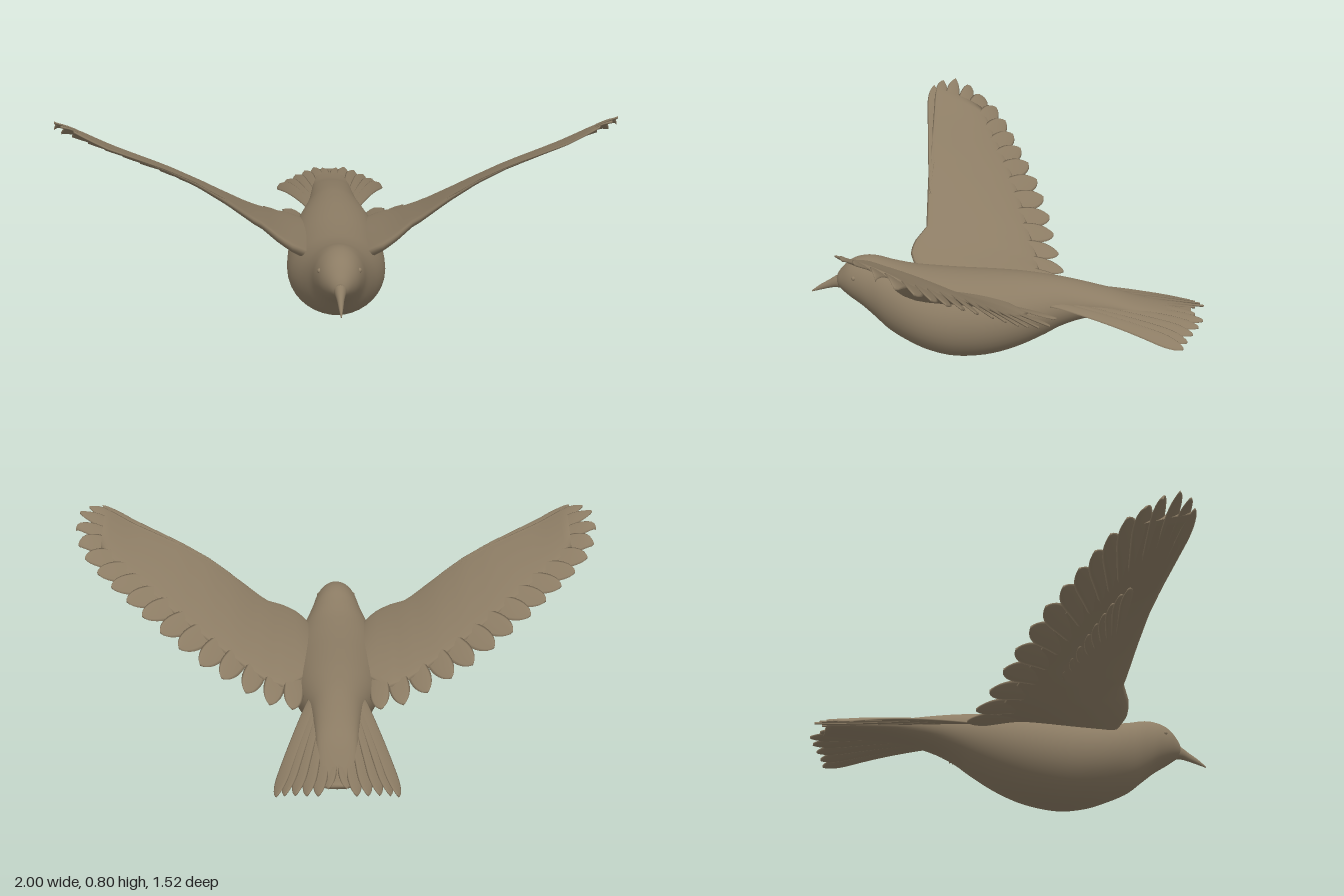
import * as THREE from 'three';

const plumage = new THREE.MeshStandardMaterial({ color: 0x8c7c64 });
plumage.name = 'brownPlumage';

// Closed skin over a list of rings (arrays of [x, y, z]), always facing outward
function loft(name, rings) {
  const n = rings[0].length, pos = rings.flat(2), idx = [];
  for (let i = 0; i < rings.length - 1; i++) {
    for (let j = 0; j < n; j++) {
      const a = i * n + j, b = i * n + (j + 1) % n;
      idx.push(a, b, a + n, b, b + n, a + n);
    }
  }
  const last = (rings.length - 1) * n;
  for (let j = 1; j < n - 1; j++) {
    idx.push(0, j + 1, j, last, last + j, last + j + 1);
  }
  // flip the winding when the enclosed volume is negative
  const p = (i) => new THREE.Vector3().fromArray(pos, i * 3);
  const origin = p(0);
  let volume = 0;
  for (let k = 0; k < idx.length; k += 3) {
    const [a, b, c] = [0, 1, 2].map((d) => p(idx[k + d]).sub(origin));
    volume += a.dot(b.cross(c));
  }
  if (volume < 0) idx.reverse();
  const g = new THREE.BufferGeometry();
  g.setAttribute('position', new THREE.Float32BufferAttribute(pos, 3));
  g.setIndex(idx);
  g.computeVertexNormals();
  const mesh = new THREE.Mesh(g, plumage);
  mesh.name = name;
  return mesh;
}

// Piecewise linear lookup in [x, value] pairs
function look(table, x) {
  if (x <= table[0][0]) return table[0][1];
  for (let i = 1; i < table.length; i++) {
    const [x0, v0] = table[i - 1], [x1, v1] = table[i];
    if (x <= x1) return v0 + (v1 - v0) * (x - x0) / (x1 - x0);
  }
  return table[table.length - 1][1];
}

// Smooth elliptical hull from rows of [z, bottom, top, half width]
function hull(name, rows, steps, sides) {
  const curve = (k) => new THREE.SplineCurve(rows.map((r) => new THREE.Vector2(r[0], r[k])));
  const low = curve(1), high = curve(2), wide = curve(3), rings = [];
  for (let i = 0; i <= steps; i++) {
    const t = i / steps, z = low.getPoint(t).x;
    const b = low.getPoint(t).y, h = high.getPoint(t).y, w = wide.getPoint(t).y;
    const ring = [];
    for (let j = 0; j < sides; j++) {
      const a = j / sides * Math.PI * 2;
      ring.push([w * Math.cos(a), (b + h) / 2 + (h - b) / 2 * Math.sin(a), z]);
    }
    rings.push(ring);
  }
  return loft(name, rings);
}

// Thin feather with a narrowed tip, from root to tip ([x, z]), lying on the surface height(x, z)
function feather(name, root, tip, w0, w1, height, side, tilt) {
  const dx = tip[0] - root[0], dz = tip[1] - root[1], len = Math.hypot(dx, dz);
  const rings = [], steps = 18, round = 0.2;
  for (let i = 0; i <= steps; i++) {
    const t = 1 - Math.pow(1 - i / steps, 1.6);
    const end = Math.max(0, (t - 1 + round) / round);
    const hw = (w0 + (w1 - w0) * t) * Math.pow(Math.max(0.003, 1 - end * end), 0.6);
    const ring = [];
    for (let j = 0; j < 10; j++) {
      const a = j / 10 * Math.PI * 2, c = Math.cos(a) * hw;
      const x = root[0] + dx * t - dz / len * c, z = root[1] + dz * t + dx / len * c;
      const y = height(x, z) + 0.005 * Math.sin(a) + tilt * Math.cos(a) * hw / w1;
      ring.push([x * side, y, z]);
    }
    rings.push(ring);
  }
  return loft(name, rings);
}

// Wing plan and height, all as functions of the distance from the body
const tips = [[0.912, 0.425], [0.96, 0.395], [0.99, 0.345], [1, 0.28], [0.985, 0.22], [0.955, 0.165],
  [0.905, 0.12], [0.85, 0.08], [0.79, 0.04], [0.73, 0], [0.66, -0.045], [0.59, -0.08],
  [0.51, -0.115], [0.43, -0.14], [0.34, -0.17], [0.25, -0.2], [0.165, -0.215]];
const leadZ = [[0.08, 0.34], [0.13, 0.38], [0.17, 0.4], [0.22, 0.385], [0.27, 0.352], [0.5, 0.38], [0.9, 0.43], [1, 0.36]];
const leadY = [[0.08, 0.27], [0.13, 0.31], [0.2, 0.355], [0.3, 0.42], [0.4, 0.5], [0.5, 0.57], [0.6, 0.625],
  [0.8, 0.715], [0.91, 0.78], [1, 0.797]];
const trailY = [[0.08, 0.235], [0.165, 0.24], [0.25, 0.25], [0.34, 0.285], [0.43, 0.33], [0.51, 0.373], [0.59, 0.425],
  [0.66, 0.472], [0.73, 0.518], [0.79, 0.56], [0.85, 0.6], [0.905, 0.64], [0.955, 0.68], [0.985, 0.71], [1, 0.745]];
const trailZ = tips.slice(3).reverse();

function wingY(x, z) {
  const front = look(leadZ, x), back = look(trailZ, x);
  const s = THREE.MathUtils.clamp((front - z) / (front - back), 0, 1);
  return THREE.MathUtils.lerp(look(leadY, x), look(trailY, x), s) + 0.015 * Math.sin(Math.PI * s);
}

function wing(side) {
  const g = new THREE.Group();
  g.name = side > 0 ? 'leftWing' : 'rightWing';
  // flight feathers fan out from the hand, then spread along the forearm
  tips.forEach((tip, i) => {
    const k = i < 7 ? i / 7 : (i - 7) / 9;
    const root = i < 7 ? [0.42 - 0.07 * k, 0.345 - 0.02 * k] : [0.35 - 0.2 * k, 0.325 - 0.07 * k];
    g.add(feather('flightFeather', root, tip, 0.022, i < 4 ? 0.03 : 0.041, wingY, side, 0.007));
  });
  // shorter overlapping feathers under the forearm
  tips.forEach((tip, i) => {
    if (i < 4) return;
    const root = [0.16 + 0.2 * (1 - i / 16), 0.31];
    const end = [root[0] + (tip[0] - root[0]) * 0.5, root[1] + (tip[1] - root[1]) * 0.5];
    g.add(feather('underCovert', root, end, 0.02, 0.03, (x, z) => wingY(x, z) - 0.012, side, 0.006));
  });
  // smooth arm and upper coverts, thick at the leading edge
  const rings = [];
  for (let i = 0; i <= 30; i++) {
    const x = 0.08 + 0.82 * i / 30, front = look(leadZ, x);
    const reach = Math.min(0.6 + 0.06 * i, 0.86 - 0.006 * i);
    const chord = (front - look(trailZ, x)) * reach;
    const thick = 0.008 + 0.047 * Math.pow(1 - i / 30, 2.2);
    const ring = [];
    for (let j = 0; j < 24; j++) {
      const a = j / 24 * Math.PI * 2, z = front - chord * (1 - Math.cos(a)) / 2;
      const up = Math.sin(a);
      const offset = up > 0 ? Math.sqrt(up) * 0.009 + up * thick * 0.12 : up * (1.1 + Math.cos(a)) * 0.7 * thick;
      ring.push([x * side, wingY(x, z) + offset, z]);
    }
    rings.push(ring);
  }
  g.add(loft('wingArm', rings));
  return g;
}

// Tail slopes down to the rear and arches down at its sides
function tailY(x, z) {
  const t = THREE.MathUtils.clamp((-0.2 - z) / 0.55, 0, 1);
  return 0.275 - 0.048 * t - 0.062 * t * (x / 0.22) ** 2;
}

export function createModel() {
  const bird = new THREE.Group();
  bird.name = 'flyingBird';

  bird.add(hull('body', [
    [0.655, 0.258, 0.296, 0.016], [0.64, 0.242, 0.322, 0.036], [0.6, 0.212, 0.362, 0.066], [0.55, 0.178, 0.38, 0.086],
    [0.5, 0.135, 0.38, 0.1], [0.44, 0.085, 0.364, 0.125], [0.36, 0.045, 0.348, 0.157], [0.28, 0.016, 0.342, 0.177],
    [0.18, 0, 0.34, 0.183], [0.06, 0.013, 0.342, 0.175], [-0.05, 0.05, 0.342, 0.155], [-0.15, 0.102, 0.337, 0.125],
    [-0.22, 0.145, 0.33, 0.103], [-0.3, 0.18, 0.316, 0.09], [-0.4, 0.203, 0.294, 0.08], [-0.5, 0.213, 0.266, 0.073],
    [-0.6, 0.213, 0.248, 0.066], [-0.71, 0.214, 0.234, 0.05],
  ], 70, 36));

  bird.add(hull('beak', [
    [0.62, 0.24, 0.31, 0.03], [0.66, 0.244, 0.292, 0.02], [0.69, 0.238, 0.272, 0.013],
    [0.725, 0.228, 0.25, 0.008], [0.758, 0.218, 0.224, 0.002],
  ], 16, 16));

  for (const side of [1, -1]) {
    bird.add(wing(side));

    const eye = new THREE.Mesh(new THREE.SphereGeometry(0.009, 16, 12), plumage);
    eye.name = 'eye';
    eye.position.set(side * 0.069, 0.315, 0.575);
    bird.add(eye);

    // tail feathers, longest just off the middle
    const ends = [[0.03, -0.725], [0.065, -0.757], [0.105, -0.742], [0.145, -0.722], [0.183, -0.703], [0.213, -0.69]];
    ends.forEach((tip, i) => {
      const root = [0.012 + 0.015 * i, -0.18];
      bird.add(feather('tailFeather', root, tip, 0.02, 0.028, (x, z) => tailY(x, z) - 0.002 * i, side, -0.006));
    });
  }
  return bird;
}
